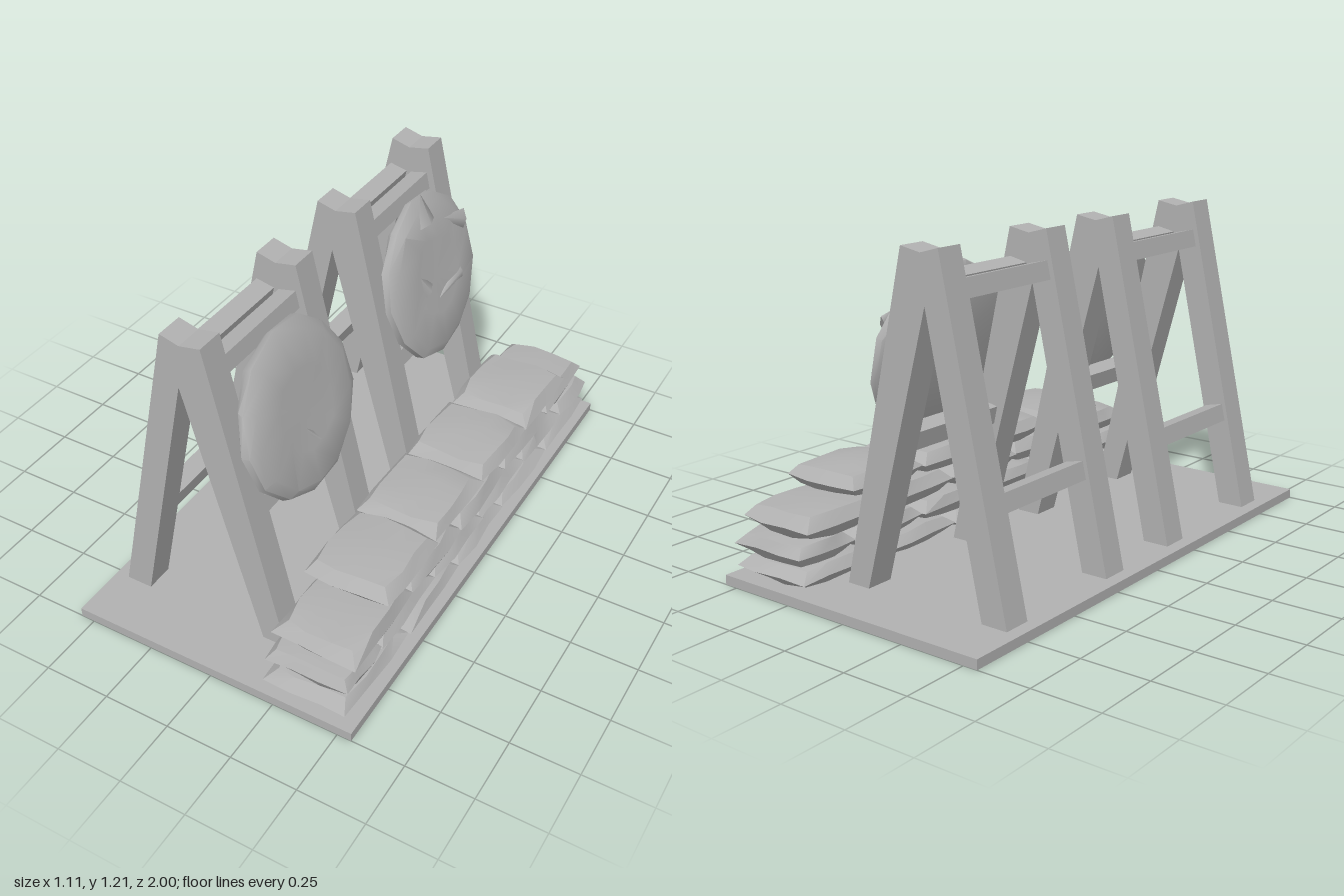
import * as THREE from 'three';
import { toCreasedNormals } from 'three/addons/utils/BufferGeometryUtils.js';

const stone = new THREE.MeshStandardMaterial({ color: 0xb0b0b0 });
stone.name = 'plain grey';

function add(parent, name, geometry, x = 0, y = 0, z = 0, rotZ = 0) {
  const mesh = new THREE.Mesh(geometry, stone);
  mesh.name = name;
  mesh.position.set(x, y, z);
  mesh.rotation.z = rotZ;
  parent.add(mesh);
  return mesh;
}

// Repeatable value in -1..1 from a position, so shared corners move together
function noise(x, y, z, seed) {
  const r = (n) => Math.round(n * 500);
  const s = Math.sin(r(x) * 12.99 + r(y) * 78.23 + r(z) * 37.72 + seed * 9.17) * 43758.55;
  return (s - Math.floor(s)) * 2 - 1;
}

function roughen(geometry, amount, seed) {
  const p = geometry.attributes.position;
  for (let i = 0; i < p.count; i++) {
    const x = p.getX(i), y = p.getY(i), z = p.getZ(i);
    p.setXYZ(i,
      x + amount * noise(x, y, z, seed),
      y + amount * 0.5 * noise(x, y, z, seed + 1),
      z + amount * noise(x, y, z, seed + 2));
  }
  return geometry;
}

// Pillow-shaped bag: wide seam at mid height, narrower top and bottom
function bagGeometry(w, h, d, seed) {
  const g = new THREE.BoxGeometry(2, 2, 2, 3, 2, 3);
  const p = g.attributes.position;
  for (let i = 0; i < p.count; i++) {
    const x = p.getX(i), y = p.getY(i), z = p.getZ(i);
    const seam = Math.abs(y) < 0.1;
    const corner = Math.abs(x * z) > 0.9;
    const edge = Math.abs(x) > 0.9 || Math.abs(z) > 0.9;
    const sx = seam ? (corner ? 0.96 : 1) : (corner ? 0.78 : 0.84);
    const sz = seam ? (corner ? 0.97 : 1) : (corner ? 0.74 : 0.8);
    const sy = edge ? (corner ? 0.72 : 0.84) : 1;
    p.setXYZ(i, x * sx * w / 2, y * sy * h / 2, z * sz * d / 2);
  }
  return toCreasedNormals(roughen(g, 0.007, seed), 0.5);
}

// A-shaped pair of legs with a notched top
function legPairGeometry(depth) {
  const shape = new THREE.Shape([
    [-0.505, 0.03], [-0.405, 0.03], [-0.19, 1.02], [0.08, 0.03], [0.172, 0.03],
    [-0.095, 1.2], [-0.175, 1.185], [-0.247, 1.205],
  ].map(([x, y]) => new THREE.Vector2(x, y)));
  return new THREE.ExtrudeGeometry(shape, { depth, bevelEnabled: false });
}

// Round straw target; its axis points along +y before tilting
function targetGeometry(seed) {
  const profile = [[0, 0], [0.285, 0], [0.31, 0.018], [0.312, 0.045], [0.275, 0.068],
    [0.15, 0.072], [0, 0.058]].map(([r, y]) => new THREE.Vector2(r, y));
  return toCreasedNormals(roughen(new THREE.LatheGeometry(profile, 13), 0.007, seed), 0.7);
}

function createStand(name, zCenter, seed) {
  const stand = new THREE.Group();
  stand.name = name;
  stand.position.z = zCenter;

  for (const z of [-0.325, 0.22]) add(stand, 'legPair', legPairGeometry(0.105), 0, 0, z);

  // Cross bars joining the two leg pairs: x, y, tilt
  const bars = [
    ['rearTopBar', -0.225, 1.06, -0.22], ['rearLowerBar', -0.375, 0.395, -0.22],
    ['frontTopBar', -0.125, 1.06, 0.22], ['frontLowerBar', 0.005, 0.54, 0.22],
  ];
  for (const [label, x, y, tilt] of bars) {
    add(stand, label, new THREE.BoxGeometry(0.07, 0.065, 0.47), x, y, 0, tilt);
  }

  // Target leaning on the front legs
  const target = new THREE.Group();
  target.name = 'target';
  target.position.set(0.008, 0.803, 0);
  target.rotation.z = 0.25 - Math.PI / 2;
  add(target, 'strawDisc', targetGeometry(seed));
  stand.add(target);
  return { stand, target };
}

// Thin raised tear on a target face
function addTear(target, x, z, length, width, turn) {
  const g = new THREE.ConeGeometry(width, length, 4);
  g.rotateZ(Math.PI / 2);
  g.scale(1, 0.35, 1);
  const tear = add(target, 'tornStraw', g, x, 0.066, z);
  tear.rotation.y = turn;
}

export function createModel() {
  const model = new THREE.Group();
  model.name = 'targetRange';

  // Ground slab
  add(model, 'base', new THREE.BoxGeometry(1.106, 0.035, 2), 0, 0.0175, 0);

  // Two target stands
  const front = createStand('frontStand', 0.465, 3);
  const back = createStand('backStand', -0.47, 8);
  model.add(front.stand, back.stand);
  addTear(front.target, 0.1, 0.0, 0.09, 0.02, 0.6);
  addTear(back.target, -0.03, 0.11, 0.14, 0.035, 0.5);
  addTear(back.target, 0.08, -0.06, 0.2, 0.04, 1.7);
  addTear(back.target, -0.15, -0.17, 0.2, 0.04, 1.1);
  // Straw tuft standing above the rim
  addTear(back.target, -0.27, 0.0, 0.12, 0.06, 0);

  // Sandbag wall: bottom, top, then the z joints between bags
  const rows = [
    [0.032, 0.108, [-0.97, -0.58, -0.2, 0.17, 0.55, 0.97]],
    [0.108, 0.2, [-0.97, -0.72, -0.38, -0.02, 0.34, 0.72, 0.95]],
    [0.195, 0.295, [-0.95, -0.59, -0.21, 0.17, 0.53, 0.92]],
    [0.285, 0.378, [-0.73, -0.365, -0.015, 0.345, 0.7]],
  ];
  const wall = new THREE.Group();
  wall.name = 'sandbagWall';
  rows.forEach(([y0, y1, joints], row) => {
    for (let i = 0; i < joints.length - 1; i++) {
      const seed = row * 10 + i;
      const length = joints[i + 1] - joints[i] + 0.015;
      const x = 0.36 + 0.008 * noise(seed, row, i, 5);
      add(wall, 'sandbag', bagGeometry(0.33, y1 - y0, length, seed),
        x, (y0 + y1) / 2, (joints[i] + joints[i + 1]) / 2);
    }
  });
  model.add(wall);
  return model;
}
